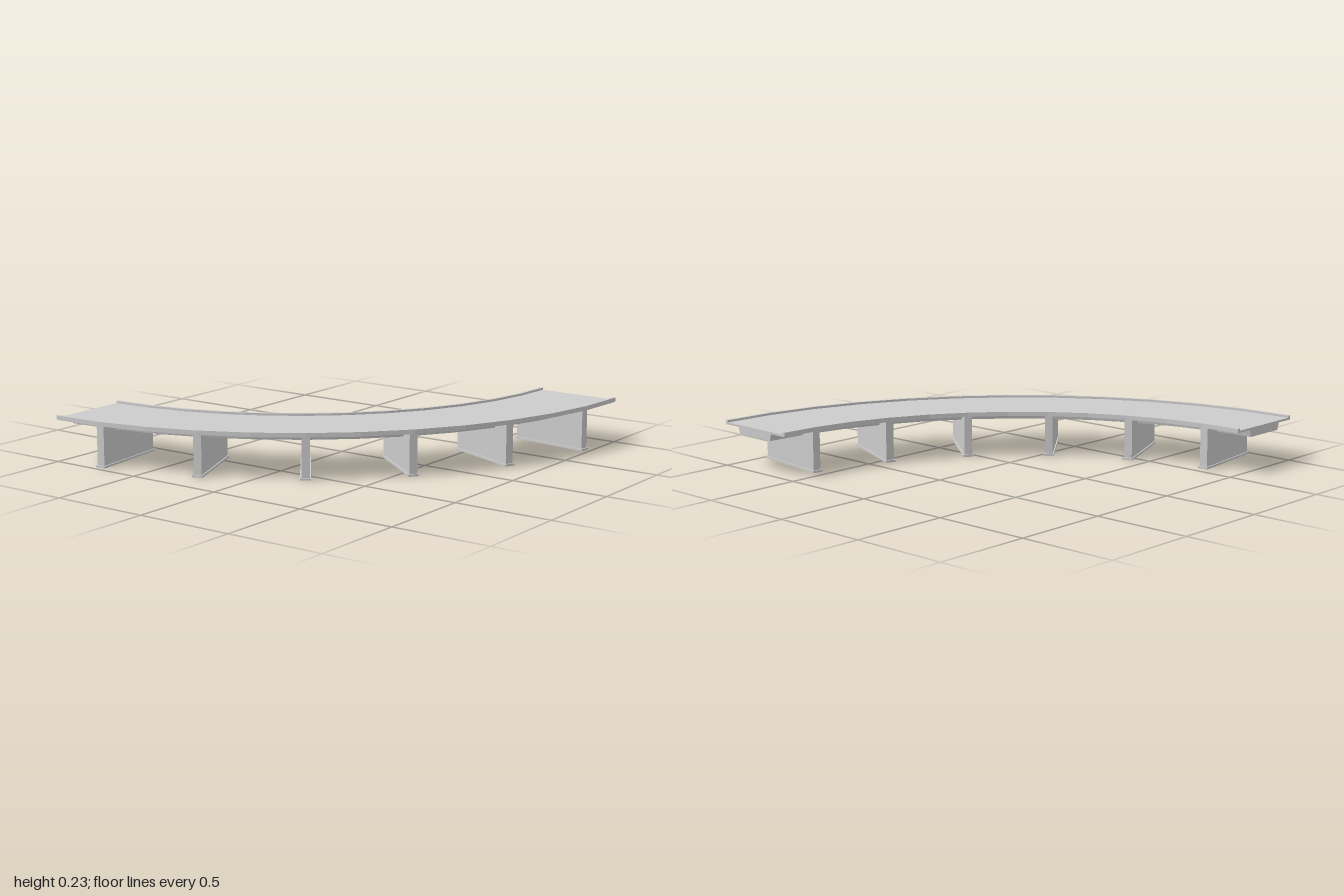
import * as THREE from 'three';

const material = new THREE.MeshStandardMaterial({ color: 0xcccccc, flatShading: true, side: THREE.DoubleSide });
const SEGMENTS = 12;

// Sweeps a closed (radius, height) section through a quarter turn and caps both ends.
function sweep(name, section) {
  const group = new THREE.Group();
  group.name = name;
  const points = section.map(([r, y]) => new THREE.Vector2(r, y));
  const body = new THREE.LatheGeometry([...points, points[0]], SEGMENTS, 0, Math.PI / 2);
  const cap = new THREE.ShapeGeometry(new THREE.Shape(points));
  const add = (geometry, part) => {
    const mesh = new THREE.Mesh(geometry, material);
    mesh.name = part;
    group.add(mesh);
    return mesh;
  };
  add(body, name + 'Body');
  add(cap, name + 'EndRight');
  add(cap, name + 'EndLeft').rotation.y = -Math.PI / 2;
  return group;
}

// Box running radially from r0 to r1, between heights y0 and y1.
function radialBox(name, r0, r1, y0, y1, thickness) {
  const geometry = new THREE.BoxGeometry(thickness, y1 - y0, r1 - r0);
  geometry.translate(0, (y0 + y1) / 2, (r0 + r1) / 2);
  const mesh = new THREE.Mesh(geometry, material);
  mesh.name = name;
  return mesh;
}

export function createModel() {
  const model = new THREE.Group();
  model.name = 'curvedViaduct';

  // Everything turns about the arc's centre
  const arc = new THREE.Group();
  arc.name = 'arc';
  arc.position.set(-1, 0, -1);
  model.add(arc);

  // Road deck with a low kerb on each edge and a girder below
  arc.add(sweep('deck', [
    [1.665, 0.174], [1.89, 0.174], [1.9, 0.21], [2, 0.21],
    [2, 0.232], [1.983, 0.232], [1.983, 0.221],
    [1.572, 0.221], [1.572, 0.232], [1.555, 0.232],
    [1.555, 0.21], [1.655, 0.21],
  ]));

  // Six wall piers, each on a slightly wider foot
  for (let i = 0; i < 6; i++) {
    const pier = new THREE.Group();
    pier.name = 'pier' + (i + 1);
    pier.rotation.y = THREE.MathUtils.degToRad(7.5 + 15 * i);
    pier.add(radialBox('pierWall', 1.57, 1.985, 0.01, 0.211, 0.04));
    pier.add(radialBox('pierFoot', 1.563, 1.992, 0, 0.011, 0.052));
    arc.add(pier);
  }
  return model;
}
